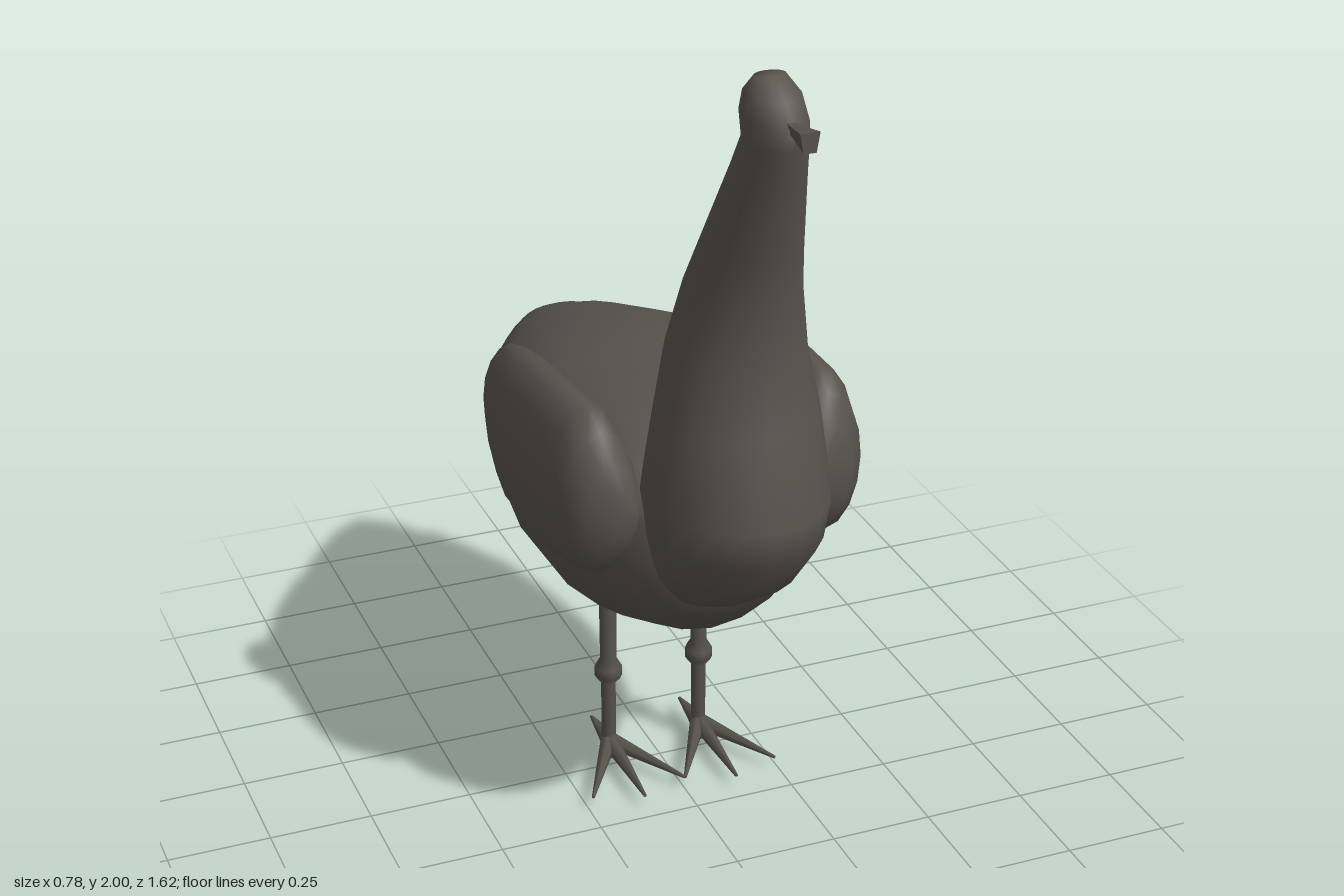
import * as THREE from 'three';

const feather = new THREE.MeshStandardMaterial({ color: 0x57524c });
feather.name = 'darkGreyBrown';

// Skin a list of closed rings (arrays of Vector3) and cap both ends.
function loft(rings) {
  const n = rings[0].length;
  const pos = [];
  const index = [];
  rings.forEach(r => r.forEach(p => pos.push(p.x, p.y, p.z)));
  for (let i = 0; i < rings.length - 1; i++) {
    for (let j = 0; j < n; j++) {
      const a = i * n + j, b = i * n + (j + 1) % n;
      index.push(a, b, b + n, a, b + n, a + n);
    }
  }
  [0, rings.length - 1].forEach((k, end) => {
    const c = new THREE.Vector3();
    rings[k].forEach(p => c.addScaledVector(p, 1 / n));
    const ci = pos.length / 3;
    pos.push(c.x, c.y, c.z);
    for (let j = 0; j < n; j++) {
      const a = k * n + j, b = k * n + (j + 1) % n;
      if (end) index.push(a, b, ci);
      else index.push(b, a, ci);
    }
  });
  const g = new THREE.BufferGeometry();
  g.setAttribute('position', new THREE.Float32BufferAttribute(pos, 3));
  g.setIndex(index);
  g.computeVertexNormals();
  return g;
}

function ring(n, f) {
  return Array.from({ length: n }, (_, j) => {
    const t = (j / n) * Math.PI * 2;
    return f(Math.cos(t), Math.sin(t));
  });
}

function part(name, geometry) {
  const m = new THREE.Mesh(geometry, feather);
  m.name = name;
  return m;
}

// Body from tail to breast: z, half width, bottom, widest height, top
const BODY = [
  [-0.81, 0.02, 0.862, 0.87, 0.878],
  [-0.75, 0.09, 0.845, 0.87, 0.92],
  [-0.70, 0.125, 0.825, 0.87, 0.945],
  [-0.66, 0.155, 0.72, 0.87, 0.96],
  [-0.58, 0.21, 0.61, 0.86, 0.995],
  [-0.50, 0.25, 0.56, 0.86, 1.02],
  [-0.40, 0.30, 0.52, 0.87, 1.05],
  [-0.25, 0.34, 0.455, 0.88, 1.10],
  [-0.08, 0.375, 0.447, 0.89, 1.11],
  [0.07, 0.37, 0.445, 0.90, 1.11],
  [0.20, 0.345, 0.49, 0.90, 1.11],
  [0.33, 0.29, 0.545, 0.90, 1.08],
  [0.39, 0.23, 0.61, 0.90, 1.03],
  [0.45, 0.15, 0.69, 0.90, 0.98],
];

// Neck and head from breast to crown: y, front z, back z, half width
const NECK = [
  [0.64, 0.40, 0.22, 0.07],
  [0.68, 0.47, 0.20, 0.13],
  [0.76, 0.585, 0.20, 0.17],
  [0.88, 0.68, 0.20, 0.20],
  [0.98, 0.697, 0.22, 0.21],
  [1.17, 0.635, 0.28, 0.188],
  [1.32, 0.61, 0.287, 0.158],
  [1.48, 0.62, 0.345, 0.13],
  [1.60, 0.65, 0.41, 0.11],
  [1.80, 0.705, 0.52, 0.078],
  [1.87, 0.725, 0.555, 0.068],
  [1.92, 0.735, 0.53, 0.066],
  [1.965, 0.69, 0.55, 0.06],
  [2.00, 0.63, 0.585, 0.035],
];

// Left wing from tip to shoulder: z, inner x, outer x, bottom, top
const WING = [
  [-0.695, 0.14, 0.16, 0.82, 0.845],
  [-0.60, 0.12, 0.212, 0.73, 0.90],
  [-0.46, 0.14, 0.287, 0.70, 0.97],
  [-0.28, 0.18, 0.342, 0.70, 1.05],
  [-0.08, 0.20, 0.39, 0.70, 1.12],
  [0.12, 0.20, 0.382, 0.70, 1.14],
  [0.28, 0.19, 0.374, 0.73, 1.15],
  [0.345, 0.19, 0.362, 0.76, 1.11],
  [0.385, 0.20, 0.325, 0.81, 1.04],
  [0.405, 0.21, 0.27, 0.87, 0.97],
];

function bodyGeometry() {
  return loft(BODY.map(([z, w, lo, mid, hi]) => ring(24, (c, s) =>
    new THREE.Vector3(w * c, mid + s * (s > 0 ? hi - mid : mid - lo), z))));
}

function neckGeometry() {
  return loft(NECK.map(([y, front, back, w]) => ring(20, (c, s) =>
    new THREE.Vector3(w * s, y, (front + back) / 2 + c * (front - back) / 2))));
}

function wingGeometry(side) {
  return loft(WING.map(([z, xi, xo, lo, hi]) => ring(16, (c, s) =>
    new THREE.Vector3(side * (xi + xo) / 2 + c * (xo - xi) / 2, (lo + hi) / 2 + s * (hi - lo) / 2, z))));
}

// Small beak, wider at its tip
function beakGeometry() {
  const corners = [[1, 1], [-1, 1], [-0.65, -1], [0.65, -1]];
  const rings = [[0.70, 0.010], [0.745, 0.012], [0.812, 0.022]]
    .map(([z, r]) => corners.map(([x, y]) => new THREE.Vector3(x * r, 1.922 + y * r, z)));
  const g = loft(rings).toNonIndexed();
  g.computeVertexNormals();
  return g;
}

// Leg with a knobbly joint
function legGeometry() {
  const profile = [[0, 0], [0.018, 0], [0.018, 0.215], [0.034, 0.235], [0.034, 0.26], [0.02, 0.285], [0.022, 0.52]];
  return new THREE.LatheGeometry(profile.map(p => new THREE.Vector2(...p)), 10);
}

// Tapered toe reaching from the ankle to (x, z)
function toe(x, z) {
  const length = Math.hypot(x, z);
  const g = new THREE.CylinderGeometry(0.004, 0.022, length, 6);
  g.translate(0, length / 2, 0);
  g.rotateX(Math.PI / 2 + 0.05);
  g.rotateY(Math.atan2(x, z));
  g.translate(0, 0.046, 0);
  return part('toe', g);
}

export function createModel() {
  const model = new THREE.Group();
  model.name = 'bird';
  model.add(part('body', bodyGeometry()), part('neckAndHead', neckGeometry()), part('beak', beakGeometry()));
  for (const side of [1, -1]) {
    const label = side > 0 ? 'left' : 'right';
    model.add(part(label + 'Wing', wingGeometry(side)));

    const leg = new THREE.Group();
    leg.name = label + 'Leg';
    leg.position.set(side * 0.12, 0, -0.04);
    leg.add(part('shank', legGeometry()));
    for (const [x, z] of [[-0.12, 0.21], [0, 0.25], [0.12, 0.21], [0, -0.125]]) leg.add(toe(x, z));
    model.add(leg);
  }
  return model;
}
